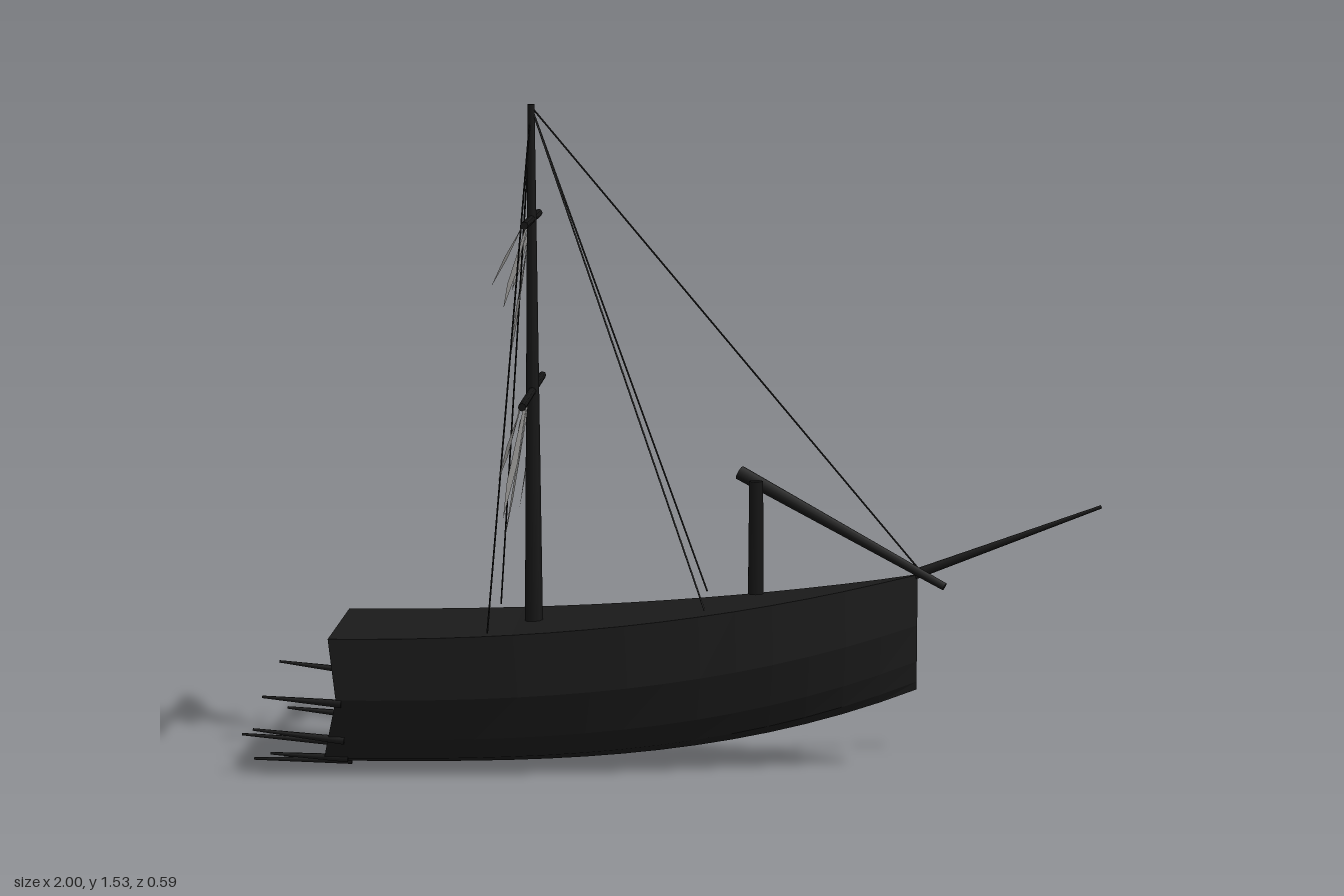
import * as THREE from 'three';

const mat = (name, color, opts = {}) => {
  const m = new THREE.MeshStandardMaterial({ color, ...opts });
  m.name = name;
  return m;
};

export function createModel() {
  const ship = new THREE.Group();
  ship.name = 'wreckedShip';
  const hullWood = mat('charred hull wood', 0x1a1a1a, { flatShading: true });
  const sparWood = mat('charred spar wood', 0x141414);
  const ropeMat = mat('tarred rope', 0x0e0e0e);
  const sailMat = mat('torn sailcloth', 0x9c9b99, { side: THREE.DoubleSide });

  const add = (name, geometry, material) => {
    const mesh = new THREE.Mesh(geometry, material);
    mesh.name = name;
    ship.add(mesh);
    return mesh;
  };

  // Tapered round spar between two points
  const spar = (name, a, b, ra, rb, material = sparWood, sides = 8) => {
    const p = new THREE.Vector3(...a), q = new THREE.Vector3(...b);
    const dir = q.clone().sub(p);
    const mesh = add(name, new THREE.CylinderGeometry(rb, ra, dir.length(), sides), material);
    mesh.position.copy(p).add(q).multiplyScalar(0.5);
    mesh.quaternion.setFromUnitVectors(new THREE.Vector3(0, 1, 0), dir.normalize());
  };

  // Hull lofted from cross-sections: [half width, height fraction, broken stern x]
  const half = [[0.183, 1, -0.757], [0.176, 0.56, -0.742], [0.132, 0.245, -0.768],
    [0.072, 0.07, -0.785], [0, 0, -0.78]];
  const section = [...half, ...half.slice(0, 4).reverse().map(([w, h, x]) => [-w, h, x])];
  const stations = 16, bowX = 0.582, n = section.length;
  const verts = [], index = [];
  for (let i = 0; i <= stations; i++) {
    const t = i / stations;
    const top = 0.335 + 0.125 * Math.pow(t, 2.2);
    const keel = 0.009 + 0.181 * Math.pow(t, 3);
    const wide = Math.max(0.02, 1 - Math.pow(t, 2.2));
    for (const [w, h, x] of section) {
      verts.push(x + (bowX - x) * t, keel + (top - keel) * h, w * wide);
    }
  }
  for (let i = 0; i < stations; i++) {
    const a = i * n, b = a + n;
    for (let j = 0; j < n - 1; j++) {
      index.push(a + j, a + j + 1, b + j, b + j, a + j + 1, b + j + 1);
    }
    index.push(a, b, a + n - 1, b, b + n - 1, a + n - 1); // deck
  }
  // Broken stern and narrow stem
  const sternC = verts.length / 3;
  verts.push(-0.755, 0.2, 0, bowX, 0.33, 0);
  const last = stations * n;
  for (let j = 0; j < n; j++) {
    const k = (j + 1) % n;
    index.push(sternC, k, j, sternC + 1, last + j, last + k);
  }
  const hull = new THREE.BufferGeometry();
  hull.setAttribute('position', new THREE.Float32BufferAttribute(verts, 3));
  hull.setIndex(index);
  hull.computeVertexNormals();
  add('hull', hull, hullWood);

  // Splintered planks at the stern: [z, root y, tip x, tip y]
  const planks = [[-0.174, 0.183, -0.925, 0.207], [0.172, 0.183, -0.91, 0.198],
    [-0.13, 0.088, -0.9, 0.105], [0.13, 0.088, -0.94, 0.112],
    [-0.072, 0.032, -1.0, 0.053], [0.07, 0.032, -0.91, 0.042], [0, 0.011, -0.96, 0.012]];
  for (const [z, y, tx, ty] of planks) {
    spar('splinteredPlank', [-0.73, y, z], [tx, ty, z], 0.01, 0.003, sparWood, 6);
  }

  // Standing mast and its yards
  const mastX = -0.303, topY = 1.535;
  spar('mainMast', [mastX, 0.335, 0], [mastX, topY, 0], 0.021, 0.008);
  spar('lowerYard', [mastX, 0.882, -0.295], [mastX, 0.882, 0.298], 0.009, 0.009);
  spar('upperYard', [mastX, 1.275, -0.206], [mastX, 1.275, 0.208], 0.009, 0.009);

  // Bowsprit, broken fore mast and its fallen top
  spar('bowsprit', [0.575, 0.46, 0], [1.0, 0.62, -0.002], 0.012, 0.004);
  spar('foreMastStump', [0.21, 0.412, 0], [0.21, 0.675, 0], 0.018, 0.016);
  spar('fallenForeMast', [0.17, 0.675, -0.13], [0.642, 0.44, 0.045], 0.017, 0.009);

  // Rigging from the masthead
  const ropeEnds = [[-0.395, 0.35, 0.175], [-0.395, 0.35, -0.175],
    [0.095, 0.395, 0.118], [0.095, 0.395, -0.118], [0.59, 0.466, 0]];
  for (const end of ropeEnds) {
    spar('rigging', [mastX, topY - 0.005, 0], end, 0.0021, 0.0021, ropeMat, 5);
  }

  // Torn sail strips: [yard y, z1, z2, shoulder y1, shoulder y2, tip z, tip y, sweep, twist]
  const strips = [
    [0.88, 0.297, 0.22, 0.77, 0.785, 0.278, 0.713, 0.05, 0.006],
    [0.88, 0.128, 0.05, 0.69, 0.72, 0.102, 0.6, 0.055, -0.006],
    [0.88, 0.05, -0.037, 0.64, 0.67, 0.033, 0.53, 0.06, 0.005],
    [0.88, -0.128, -0.205, 0.79, 0.79, -0.17, 0.745, 0.045, -0.006],
    [0.88, -0.207, -0.293, 0.66, 0.69, -0.223, 0.57, 0.045, 0.004],
    [1.275, 0.205, 0.153, 1.2, 1.2, 0.19, 1.138, 0.07, 0.005],
    [1.275, 0.033, -0.02, 1.13, 1.15, 0.005, 1.07, 0.06, -0.005],
    [1.275, -0.03, -0.085, 1.02, 1.07, -0.045, 0.92, 0.055, 0.005],
    [1.275, -0.09, -0.142, 1.15, 1.15, -0.117, 1.1, 0.05, -0.004],
    [1.275, -0.146, -0.203, 1.15, 1.17, -0.175, 1.1, 0.055, 0.005],
  ];
  for (const [y, z1, z2, s1, s2, tz, ty, sweep, twist] of strips) {
    const x = (h) => mastX - 0.006 - sweep * (y - h) / (y - ty);
    const g = new THREE.BufferGeometry();
    g.setAttribute('position', new THREE.Float32BufferAttribute([
      x(y), y, z1, x(y), y, z2,
      x(s1) + twist, s1, z1, x(s2) - twist, s2, z2, x(ty), ty, tz], 3));
    g.setIndex([0, 1, 2, 1, 3, 2, 2, 3, 4]);
    g.computeVertexNormals();
    add('tornSail', g, sailMat);
  }

  return ship;
}
